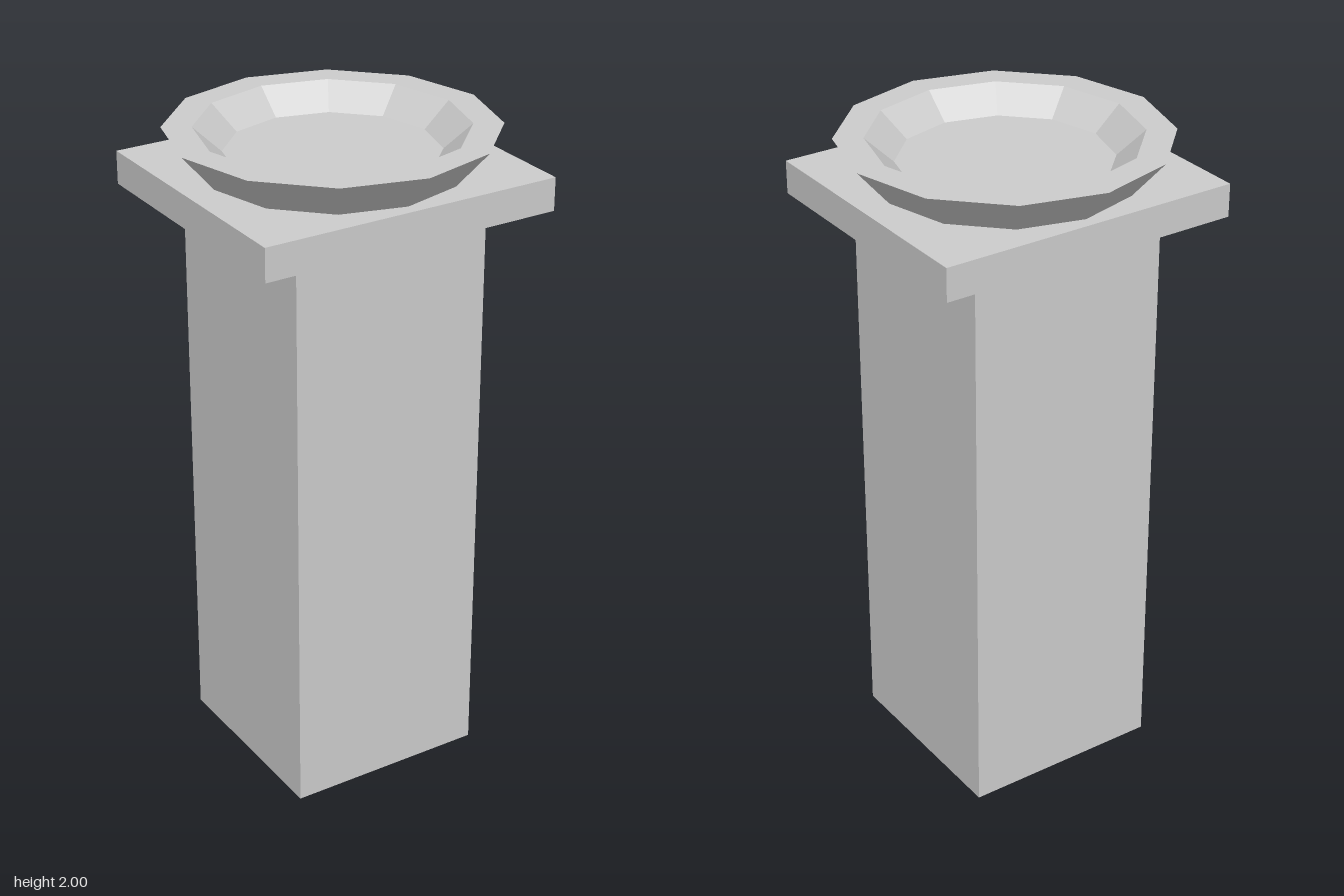
import * as THREE from 'three';

const stone = new THREE.MeshStandardMaterial({ color: 0xcccccc, flatShading: true });
stone.name = 'pale grey stone';

function addPart(group, name, geometry, y = 0) {
  const mesh = new THREE.Mesh(geometry, stone);
  mesh.name = name;
  mesh.position.y = y;
  group.add(mesh);
}

export function createModel() {
  const group = new THREE.Group();
  group.name = 'pedestalBasin';

  // Square column, with a hairline joint below the slab
  addPart(group, 'column', new THREE.BoxGeometry(0.622, 1.774, 0.622), 0.887);

  // Slab, wider than it is deep
  addPart(group, 'slab', new THREE.BoxGeometry(0.936, 0.1, 0.832), 1.835);

  // Twelve-sided flared basin: underside, outer wall, flat rim, inner wall, floor
  const profile = [
    [0, 1.887], [0.382, 1.887], [0.48, 2], [0.393, 2], [0.311, 1.927], [0, 1.927],
  ].map(([r, y]) => new THREE.Vector2(r, y));
  addPart(group, 'basin', new THREE.LatheGeometry(profile, 12));

  return group;
}
